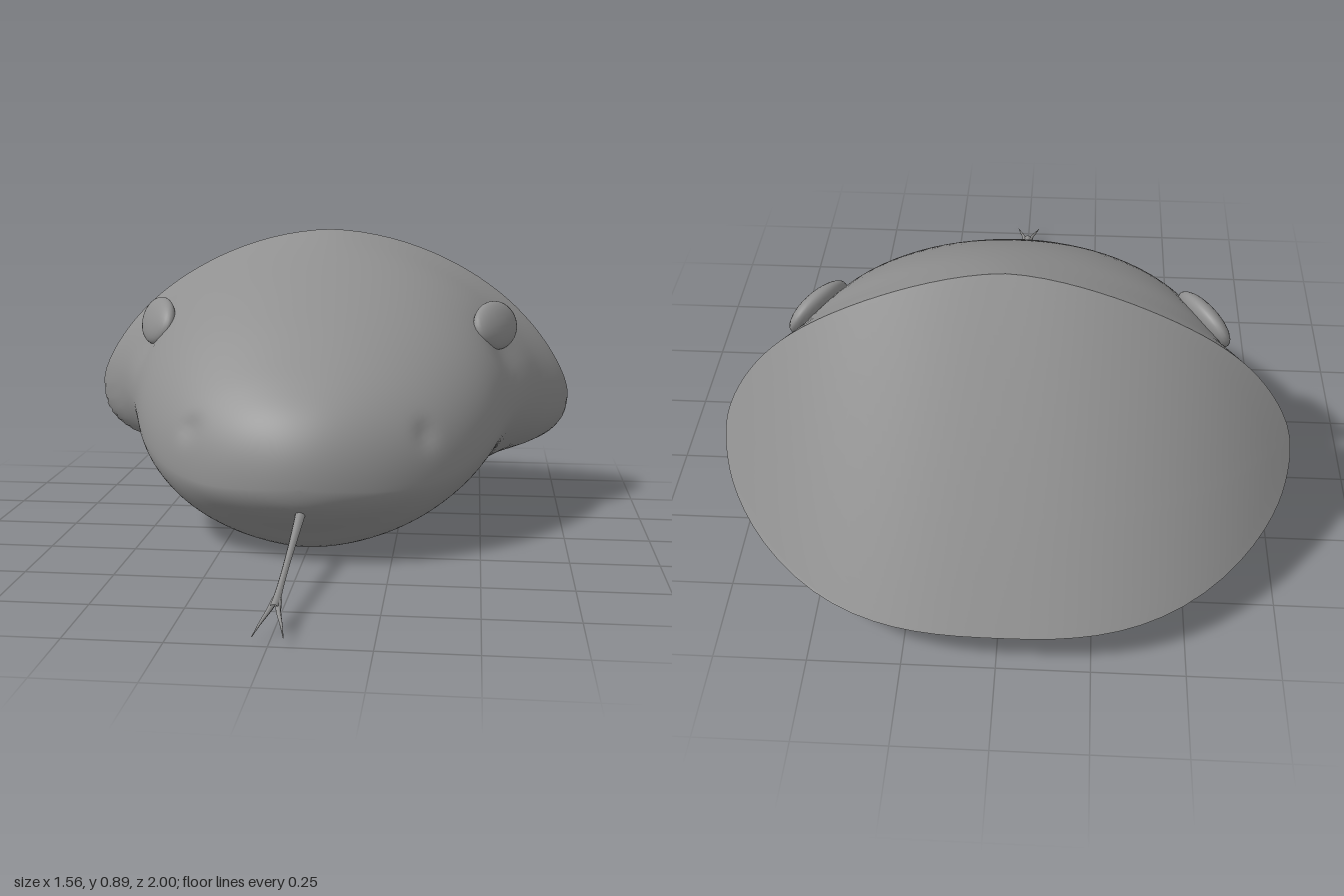
import * as THREE from 'three';

const NOSE = 0.41;
const material = new THREE.MeshStandardMaterial({ color: 0x909090 });

// Smooth lookup along the head: keys are [z, value] from the nose backwards.
function along(keys) {
  const t = keys.map(([z]) => Math.sqrt(NOSE - z));
  const curve = new THREE.CubicInterpolant(t, keys.map((k) => k[1]), 1, [0]);
  return (s) => curve.evaluate(s)[0];
}

const top = along([[0.41, 0.23], [0.4, 0.31], [0.35, 0.41], [0.25, 0.5], [0.15, 0.57], [0, 0.67],
  [-0.2, 0.785], [-0.46, 0.89], [-0.6, 0.93], [-1.1, 1]]);
const bottom = along([[0.41, 0.23], [0.4, 0.18], [0.37, 0.14], [0.3, 0.08], [0.22, 0.015], [0.16, 0],
  [0, 0.025], [-0.2, 0.06], [-0.3, 0.09], [-0.4, 0.12], [-0.55, 0.138], [-1.1, 0.122]]);
const halfWidth = along([[0.41, 0], [0.39, 0.13], [0.35, 0.23], [0.3, 0.31], [0.2, 0.42], [0.1, 0.49],
  [0, 0.54], [-0.1, 0.575], [-0.2, 0.61], [-0.3, 0.655], [-0.38, 0.7], [-0.43, 0.745], [-0.47, 0.775],
  [-0.55, 0.782], [-1.1, 0.78]]);
const widestY = along([[0.41, 0.23], [0.4, 0.225], [0.3, 0.22], [0.1, 0.27], [-0.1, 0.34], [-0.3, 0.38],
  [-0.45, 0.38], [-1.1, 0.37]]);
const upperPower = along([[0.41, 2], [0.1, 2.15], [-0.25, 1.98], [-0.45, 1.68], [-1.1, 1.68]]);
const lowerPower = along([[0.41, 1.9], [0.1, 1.75], [-0.2, 2], [-0.5, 3.2], [-1.1, 3.4]]);

// Point on the head skin: angle runs from the crown over +x, s runs back from the nose.
function skin(angle, s) {
  const sx = Math.sin(angle), cy = Math.cos(angle);
  const n = cy > 0 ? upperPower(s) : lowerPower(s);
  const r = (Math.abs(sx) ** n + Math.abs(cy) ** n) ** (-1 / n);
  const mid = widestY(s);
  const height = cy > 0 ? top(s) - mid : mid - bottom(s);
  return new THREE.Vector3(halfWidth(s) * r * sx, mid + height * r * cy, NOSE - s * s);
}

// Slanted neck cut, wrapping forwards at the sides.
const cutZ = (x, y) => -0.46 - 0.71 * (0.89 - y) + 0.35 * Math.abs(x / 0.78) ** 2.7;

function rimParameter(angle) {
  let lo = 0.5, hi = 1.228;
  for (let i = 0; i < 30; i++) {
    const m = (lo + hi) / 2;
    const p = skin(angle, m);
    if (p.z > cutZ(p.x, p.y)) lo = m; else hi = m;
  }
  return lo;
}

// Surface from a grid of points; wrap joins the last column to the first.
function gridMesh(name, rows, cols, wrap, pointAt) {
  const pos = [], index = [];
  for (let r = 0; r < rows; r++) {
    for (let c = 0; c < cols; c++) pos.push(...pointAt(r, c).toArray());
  }
  for (let r = 0; r < rows - 1; r++) {
    for (let c = 0; c < (wrap ? cols : cols - 1); c++) {
      const a = r * cols + c, b = r * cols + ((c + 1) % cols);
      index.push(a, b, a + cols, b, b + cols, a + cols);
    }
  }
  const geo = new THREE.BufferGeometry();
  geo.setAttribute('position', new THREE.Float32BufferAttribute(pos, 3));
  geo.setIndex(index);
  geo.computeVertexNormals();
  const mesh = new THREE.Mesh(geo, material);
  mesh.name = name;
  return mesh;
}

// Tube whose radius is given by a function of the distance along it.
function taperedTube(name, points, radius) {
  const path = new THREE.CatmullRomCurve3(points.map((p) => new THREE.Vector3(...p)));
  const steps = 16, sides = 8;
  const geo = new THREE.TubeGeometry(path, steps, 1, sides);
  const p = geo.attributes.position, v = new THREE.Vector3();
  for (let i = 0; i < p.count; i++) {
    const u = Math.floor(i / (sides + 1)) / steps;
    const centre = path.getPointAt(u);
    v.fromBufferAttribute(p, i).sub(centre).multiplyScalar(radius(u)).add(centre);
    p.setXYZ(i, v.x, v.y, v.z);
  }
  geo.computeVertexNormals();
  const mesh = new THREE.Mesh(geo, material);
  mesh.name = name;
  return mesh;
}

// Mirrored hollows in the skin: nostrils and the hollows under the eyes
const hollows = [
  { at: new THREE.Vector3(0.34, 0.36, 0.24), size: 0.035, inX: 0.008, inZ: 0.008 },
  { at: new THREE.Vector3(0.59, 0.55, -0.24), size: 0.09, inX: 0.026, inZ: 0 },
];

export function createModel() {
  const model = new THREE.Group();
  model.name = 'snakeHead';
  const N = 96, ROWS = 56;
  const angles = Array.from({ length: N }, (_, i) => (i / N) * Math.PI * 2);
  const rim = angles.map(rimParameter);

  // Head skin
  model.add(gridMesh('headSkin', ROWS, N, true, (r, c) => {
    const p = skin(angles[c], (rim[c] * r) / (ROWS - 1));
    const mirrored = new THREE.Vector3(Math.abs(p.x), p.y, p.z);
    for (const { at, size, inX, inZ } of hollows) {
      const fall = Math.exp(-((at.distanceTo(mirrored) / size) ** 2));
      p.x -= Math.sign(p.x) * inX * fall;
      p.z -= inZ * fall;
    }
    return p;
  }));

  // Cap over the neck cut
  model.add(gridMesh('neckCap', N / 2 + 1, 25, false, (r, c) => {
    const p = skin(angles[r], rim[r]);
    const x = p.x * (c / 12 - 1);
    return new THREE.Vector3(x, p.y, cutZ(x, p.y));
  }));

  // Eyes: flattened lenses lying in the sides of the brow
  for (const side of [1, -1]) {
    const eye = new THREE.Mesh(new THREE.SphereGeometry(1, 28, 18), material);
    const length = new THREE.Vector3(-0.46 * side, -0.12, 0.86).normalize();
    const out = new THREE.Vector3(0.84 * side, 0.4, 0.48);
    out.addScaledVector(length, -out.dot(length)).normalize();
    const up = new THREE.Vector3().crossVectors(out, length);
    eye.quaternion.setFromRotationMatrix(new THREE.Matrix4().makeBasis(length, up, out));
    eye.scale.set(0.118, 0.076, 0.036);
    eye.position.set(0.536 * side, 0.607, -0.26);
    eye.name = side > 0 ? 'leftEye' : 'rightEye';
    model.add(eye);
  }

  // Forked tongue
  const tongue = new THREE.Group();
  tongue.name = 'tongue';
  tongue.add(taperedTube('tongueStem', [[0, 0.16, 0.33], [0, 0.125, 0.5], [0, 0.085, 0.72], [0, 0.055, 0.89]],
    (u) => 0.007 + 0.009 * (1 - u) ** 2 + 0.006 * u ** 6));
  for (const side of [1, -1]) {
    tongue.add(taperedTube(side > 0 ? 'leftFork' : 'rightFork',
      [[0.004 * side, 0.062, 0.84], [0.013 * side, 0.052, 0.9], [0.026 * side, 0.038, 0.95], [0.038 * side, 0.022, 1]],
      (u) => 0.0085 * (1 - u) + 0.0008));
  }
  model.add(tongue);
  return model;
}
